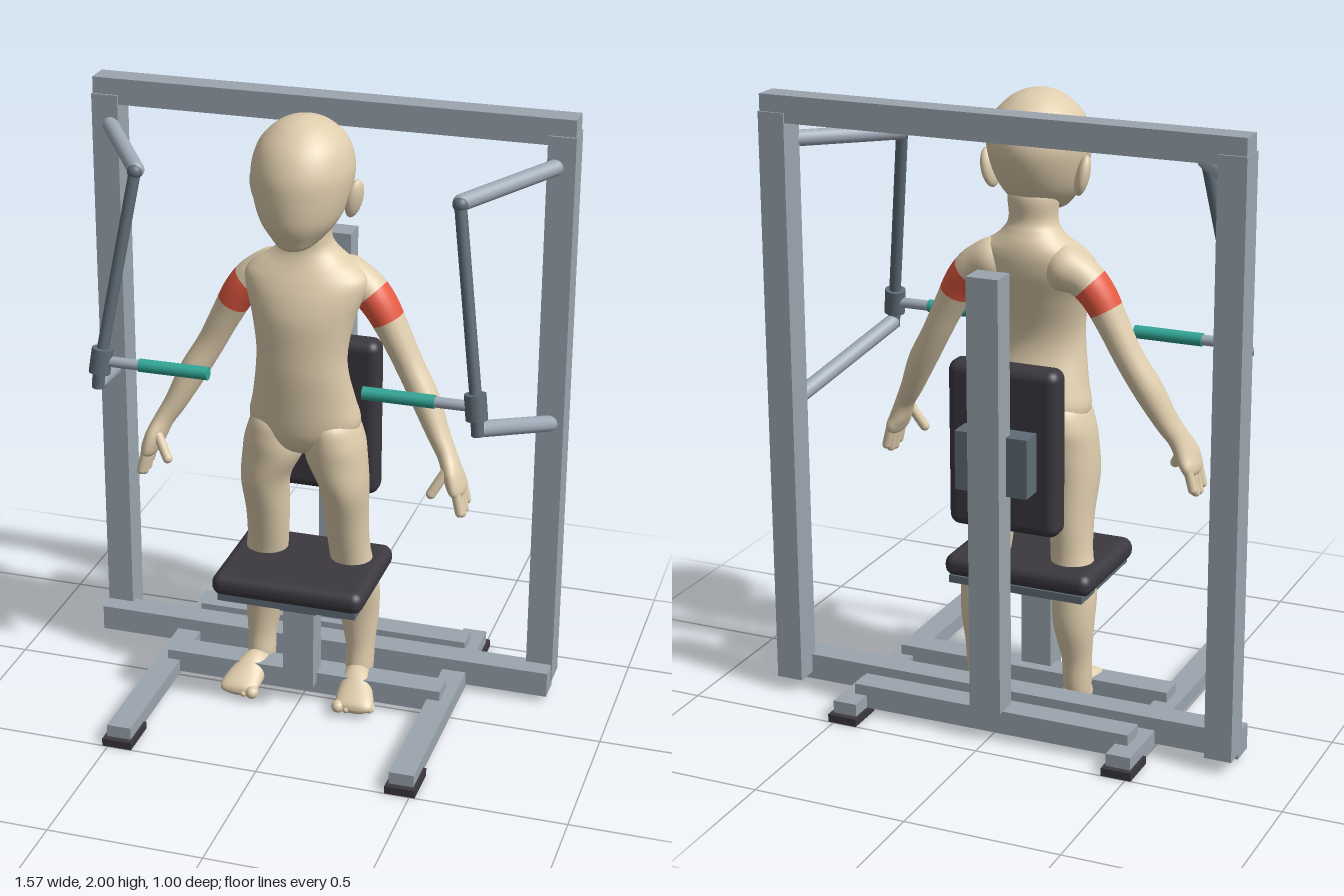
import * as THREE from 'three';
import { RoundedBoxGeometry } from 'three/addons/geometries/RoundedBoxGeometry.js';

const mat = (name, color, side = THREE.FrontSide) => {
  const m = new THREE.MeshStandardMaterial({ color, side });
  m.name = name;
  return m;
};
const V = (x, y, z) => new THREE.Vector3(x, y, z);

// Smooth skin over elliptical rings. Rows: [x, y, z, radiusX, radiusOther].
// axis fixes the ring normal; without it rings follow the path.
function loft(rows, axis = null, t0 = 0, t1 = 1, steps = (rows.length - 1) * 5, n = 28) {
  const path = new THREE.CatmullRomCurve3(rows.map(r => V(r[0], r[1], r[2])), false, 'catmullrom', 0.5);
  const size = new THREE.CatmullRomCurve3(rows.map(r => V(r[3], r[4], 0)), false, 'catmullrom', 0.5);
  const pos = [], idx = [];
  for (let i = 0; i <= steps; i++) {
    const t = t0 + (t1 - t0) * i / steps;
    const c = path.getPoint(t), s = size.getPoint(t);
    const w = axis || path.getTangent(t);
    const u = V(1, 0, 0).addScaledVector(w, -w.x).normalize();
    const v = u.clone().cross(w);
    for (let j = 0; j < n; j++) {
      const a = j / n * Math.PI * 2;
      const p = c.clone()
        .addScaledVector(u, Math.cos(a) * Math.max(s.x, 0.0005))
        .addScaledVector(v, Math.sin(a) * Math.max(s.y, 0.0005));
      pos.push(p.x, p.y, p.z);
      if (i < steps) {
        const k = (j + 1) % n, A = i * n + j, B = i * n + k;
        idx.push(A, A + n, B, B, A + n, B + n);
      }
    }
  }
  const g = new THREE.BufferGeometry();
  g.setAttribute('position', new THREE.Float32BufferAttribute(pos, 3));
  g.setIndex(idx);
  g.computeVertexNormals();
  return g;
}

export function createModel() {
  const model = new THREE.Group();
  model.name = 'exerciseMachineWithFigure';
  const frame = mat('frameGrey', 0x9ba5af);
  const tube = mat('tubeGrey', 0xa0abb7);
  const slate = mat('slateMetal', 0x5f6c76);
  const pad = mat('darkPad', 0x3b383f);
  const teal = mat('tealGrip', 0x31a797);
  const skin = mat('skin', 0xdfcdad, THREE.DoubleSide);
  const red = mat('redBand', 0xe65a41, THREE.DoubleSide);

  const add = (name, geo, material) => {
    const m = new THREE.Mesh(geo, material);
    m.name = name;
    model.add(m);
    return m;
  };
  // Box from its min and max along each axis, optionally rounded
  const box = (name, m, x0, x1, y0, y1, z0, z1, round = 0) => {
    const d = [x1 - x0, y1 - y0, z1 - z0];
    const g = round ? new RoundedBoxGeometry(...d, 4, round) : new THREE.BoxGeometry(...d);
    return add(name, g.translate((x0 + x1) / 2, (y0 + y1) / 2, (z0 + z1) / 2), m);
  };
  // Round bar between two points
  const bar = (name, m, a, b, r, capped = false) => {
    const len = a.distanceTo(b);
    const g = capped ? new THREE.CapsuleGeometry(r, len, 6, 20) : new THREE.CylinderGeometry(r, r, len, 20);
    const o = add(name, g, m);
    o.position.copy(a).lerp(b, 0.5);
    o.quaternion.setFromUnitVectors(V(0, 1, 0), b.clone().sub(a).normalize());
  };
  const ball = (name, m, x, y, z, rx, ry = rx, rz = rx) => {
    const o = add(name, new THREE.SphereGeometry(1, 24, 16).scale(rx, ry, rz), m);
    o.position.set(x, y, z);
    return o;
  };

  // Frame
  box('topBeam', frame, -0.782, 0.782, 1.895, 1.98, -0.34, -0.257);
  box('bottomBeam', frame, -0.782, 0.782, 0.022, 0.108, -0.272, -0.187);
  box('rearCrossbar', frame, -0.47, 0.47, 0.025, 0.102, -0.405, -0.32);
  box('frontCrossbar', frame, -0.47, 0.47, 0.025, 0.1, -0.07, 0.018);
  box('backColumn', frame, -0.052, 0.052, 0.105, 1.508, -0.43, -0.345);
  box('backrestBracket', slate, -0.12, 0.12, 0.81, 1.0, -0.376, -0.29);
  box('backrest', pad, -0.185, 0.185, 0.655, 1.195, -0.3, -0.208, 0.035);

  // Seat
  box('seatPost', frame, -0.052, 0.052, 0.065, 0.345, -0.03, 0.055);
  box('seatBracket', slate, -0.062, 0.062, 0.338, 0.42, -0.036, 0.06);
  box('seatPlate', slate, -0.23, 0.23, 0.415, 0.44, -0.2, 0.188);
  box('seat', pad, -0.252, 0.252, 0.43, 0.505, -0.202, 0.2, 0.034);

  for (const s of [1, -1]) {
    const P = (x, y, z) => V(s * x, y, z);
    const X = rows => rows.map(r => [s * r[0], ...r.slice(1)]);
    const sbox = (name, m, x0, x1, ...rest) =>
      box(name, m, Math.min(s * x0, s * x1), Math.max(s * x0, s * x1), ...rest);

    // Uprights, floor rails and feet
    sbox('upright', frame, 0.697, 0.785, 0.045, 1.926, -0.346, -0.25);
    sbox('floorRail', frame, 0.428, 0.508, 0.017, 0.067, -0.48, 0.48);
    sbox('rearFootPad', pad, 0.42, 0.518, 0, 0.026, -0.5, -0.37);
    sbox('frontFootPad', pad, 0.42, 0.518, 0, 0.026, 0.36, 0.5);

    // Swinging press arm
    bar('upperArmTube', tube, P(0.722, 1.828, -0.25), P(0.512, 1.803, 0.075), 0.026, true);
    bar('lowerArmTube', tube, P(0.74, 0.98, -0.25), P(0.612, 1.13, 0.18), 0.026, true);
    bar('linkRod', slate, P(0.512, 1.8, 0.085), P(0.604, 1.2, 0.19), 0.019);
    ball('upperJoint', slate, s * 0.512, 1.8, 0.085, 0.024);
    bar('handleClamp', slate, P(0.597, 1.245, 0.185), P(0.607, 1.165, 0.195), 0.034);
    bar('lowerPin', slate, P(0.607, 1.17, 0.195), P(0.612, 1.115, 0.197), 0.02);
    bar('handleRod', tube, P(0.6, 1.203, 0.186), P(0.46, 1.203, 0.186), 0.017);
    bar('handleGrip', teal, P(0.475, 1.203, 0.186), P(0.248, 1.203, 0.186), 0.021);

    // Figure arm with a coloured band
    const arm = X([
      [0.03, 1.482, -0.085, 0, 0], [0.1, 1.47, -0.084, 0.07, 0.068],
      [0.175, 1.443, -0.08, 0.062, 0.066], [0.228, 1.388, -0.075, 0.056, 0.063],
      [0.277, 1.3, -0.073, 0.049, 0.055], [0.328, 1.2, -0.068, 0.045, 0.05],
      [0.385, 1.1, -0.05, 0.045, 0.052], [0.435, 1.0, -0.025, 0.036, 0.046],
      [0.47, 0.94, -0.005, 0.031, 0.044], [0.497, 0.88, 0.012, 0.031, 0.062],
      [0.515, 0.835, 0.013, 0.024, 0.06], [0.522, 0.812, 0.013, 0, 0]]);
    add('shoulder', loft(arm, null, 0, 2.45 / 11, 14), skin);
    add('armBand', loft(arm, null, 2.45 / 11, 3.52 / 11, 8), red);
    add('arm', loft(arm, null, 3.52 / 11, 1, 44), skin);
    for (let i = 0; i < 4; i++) {
      const z = -0.033 + i * 0.03, tip = [0.785, 0.768, 0.765, 0.778][i];
      bar('finger', skin, P(0.513, 0.85, z), P(0.53, tip, z + 0.002), 0.0145, true);
    }
    bar('thumb', skin, P(0.475, 0.9, 0.042), P(0.437, 0.832, 0.062), 0.016, true);

    // Leg
    add('leg', loft(X([
      [0.085, 1.06, -0.02, 0, 0], [0.09, 1.02, -0.022, 0.07, 0.095],
      [0.1, 0.95, -0.025, 0.092, 0.116], [0.106, 0.88, -0.022, 0.098, 0.11],
      [0.132, 0.78, -0.022, 0.078, 0.1], [0.133, 0.65, -0.047, 0.07, 0.082],
      [0.14, 0.53, -0.065, 0.068, 0.067], [0.157, 0.42, -0.083, 0.074, 0.066],
      [0.162, 0.3, -0.1, 0.067, 0.06], [0.17, 0.18, -0.092, 0.049, 0.048],
      [0.17, 0.1, -0.085, 0.046, 0.052], [0.17, 0.05, -0.085, 0.038, 0.04],
      [0.17, 0.035, -0.085, 0, 0]]), V(0, 1, 0)), skin);

    // Foot and toes
    add('foot', loft(X([
      [0.165, 0.045, -0.145, 0, 0], [0.165, 0.047, -0.135, 0.03, 0.03],
      [0.168, 0.06, -0.09, 0.045, 0.048], [0.178, 0.067, -0.02, 0.05, 0.055],
      [0.192, 0.051, 0.04, 0.062, 0.039], [0.198, 0.039, 0.082, 0.062, 0.026],
      [0.198, 0.034, 0.1, 0.045, 0.015], [0.198, 0.032, 0.105, 0, 0]]), V(0, 0, 1)), skin);
    for (let i = 0; i < 5; i++) {
      const r = i ? 0.0155 : 0.021;
      ball('toe', skin, s * (i ? 0.153 + i * 0.024 : 0.148), 0.012 + r, 0.092 - i * 0.007, r, r, 0.024);
    }

    // Ear, tilted in at the lobe and swept out at the rear
    ball('ear', skin, s * 0.154, 1.745, -0.028, 0.022, 0.064, 0.036).rotation.set(0, -0.35 * s, -0.22 * s);
  }

  // Torso and head: [height, half width, front, back]
  const upright = rows => loft(rows.map(([y, w, f, b]) => [0, y, (f + b) / 2, w, (f - b) / 2]),
    V(0, 1, 0), 0, 1, rows.length * 5, 40);
  add('torso', upright([
    [0.888, 0, -0.02, -0.02], [0.898, 0.045, 0.03, -0.07], [0.925, 0.11, 0.07, -0.118],
    [0.965, 0.163, 0.091, -0.142], [1.01, 0.181, 0.1, -0.148],
    [1.08, 0.166, 0.107, -0.13], [1.18, 0.149, 0.115, -0.095], [1.26, 0.147, 0.115, -0.095],
    [1.36, 0.165, 0.113, -0.125], [1.43, 0.189, 0.096, -0.148], [1.48, 0.198, 0.073, -0.155],
    [1.515, 0.168, 0.053, -0.154], [1.545, 0.122, 0.037, -0.147], [1.575, 0.09, 0.027, -0.133],
    [1.61, 0.077, 0.027, -0.12], [1.7, 0.075, 0.03, -0.115], [1.74, 0, 0, 0]]), skin);
  add('head', upright([
    [1.608, 0, 0.1, 0.1], [1.614, 0.045, 0.138, 0.03], [1.645, 0.085, 0.158, -0.07],
    [1.7, 0.125, 0.182, -0.135], [1.78, 0.15, 0.188, -0.178], [1.85, 0.156, 0.181, -0.19],
    [1.92, 0.135, 0.147, -0.165], [1.97, 0.088, 0.092, -0.11], [1.993, 0.042, 0.04, -0.055],
    [2.0, 0, -0.005, -0.005]]), skin);

  return model;
}
